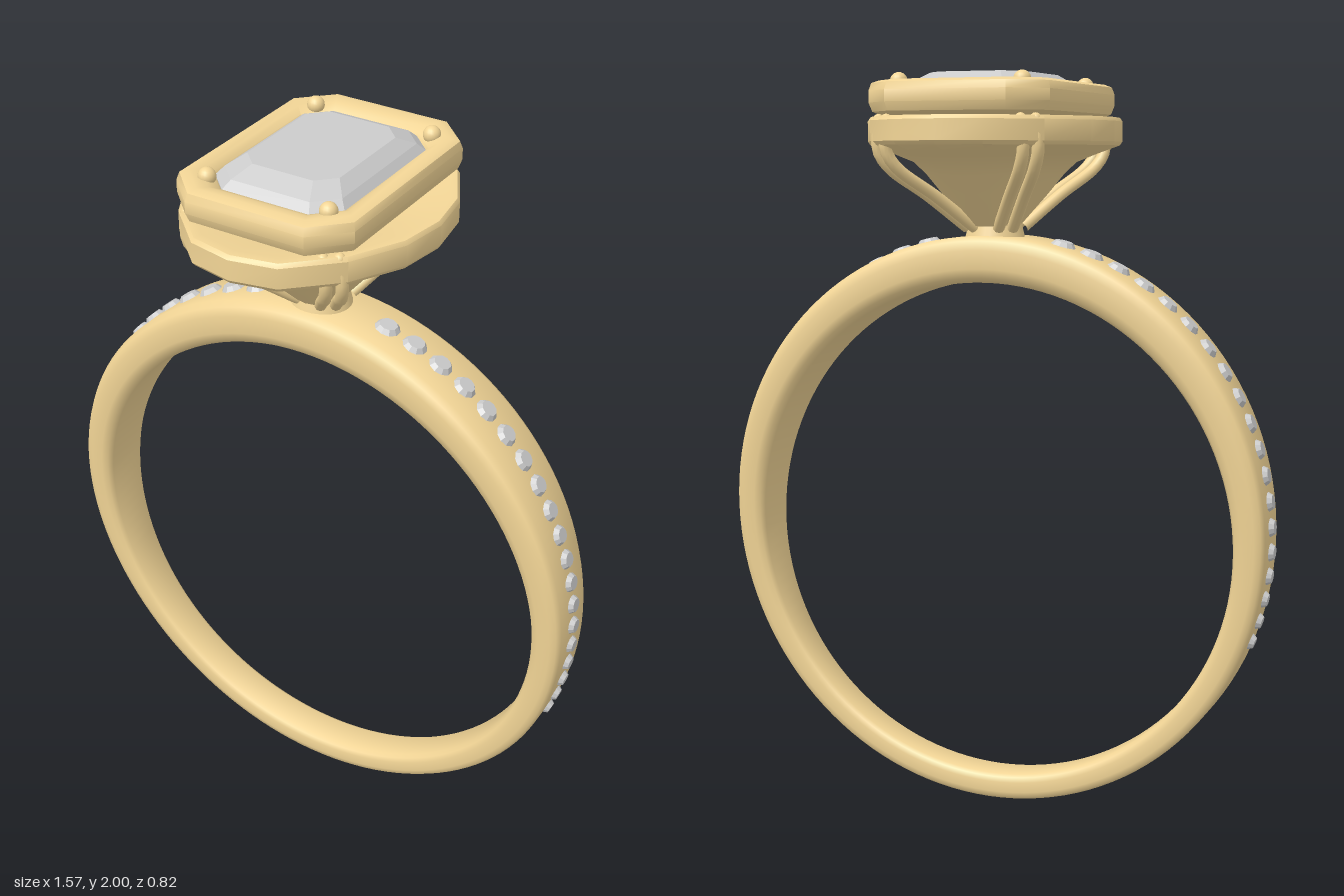
import * as THREE from 'three';
import { toCreasedNormals } from 'three/addons/utils/BufferGeometryUtils.js';

const gold = new THREE.MeshStandardMaterial({ color: 0xf2d596 });
const grey = new THREE.MeshStandardMaterial({ color: 0xcccccc, flatShading: true });
const lerp = THREE.MathUtils.lerp;

// Skin a list of equal-length closed rings of [x, y, z]; wrap joins last ring to first
function loft(rings, wrap, crease) {
  const n = rings[0].length, index = [];
  const last = wrap ? rings.length : rings.length - 1;
  for (let i = 0; i < last; i++) {
    const i2 = (i + 1) % rings.length;
    for (let j = 0; j < n; j++) {
      const j2 = (j + 1) % n;
      const a = i * n + j, b = i2 * n + j, c = i2 * n + j2, d = i * n + j2;
      index.push(a, b, d, b, c, d);
    }
  }
  const g = new THREE.BufferGeometry();
  g.setAttribute('position', new THREE.Float32BufferAttribute(rings.flat(2), 3));
  g.setIndex(index);
  return toCreasedNormals(g, crease);
}

// Rectangle with cut corners, at height y
function cutRect(a, b, c, y) {
  const p = a - c, q = b - c;
  return [[a, -q], [a, q], [p, b], [-p, b], [-a, q], [-a, -q], [-p, -b], [p, -b]]
    .map(([x, z]) => [x, y, z]);
}

function add(parent, name, geometry, material) {
  const m = new THREE.Mesh(geometry, material);
  m.name = name;
  parent.add(m);
  return m;
}

// Band: wider and thicker toward the top
function bandGeometry() {
  const section = [[0.7, 1], [0.9, 0.95], [1, 0.78], [1, -0.78], [0.9, -0.95], [0.7, -1],
    [0.3, -1], [0.1, -0.93], [0, -0.75], [0, 0.75], [0.1, 0.93], [0.3, 1]];
  const rings = [];
  for (let i = 0; i < 128; i++) {
    const t = (i / 128) * Math.PI * 2, s = Math.sin(t), c = Math.cos(t);
    const half = lerp(0.055, 0.105, THREE.MathUtils.smoothstep(0.787 + 0.787 * c, 0, 1.5));
    rings.push(section.map(([k, w]) => [
      lerp(0.69, 0.775, k) * s,
      lerp(0.76 + 0.69 * c, 0.787 + 0.787 * c, k),
      w * half]));
  }
  return loft(rings, true, 0.9);
}

// Cup and its wide faceted rim
function basketGeometry() {
  const quarter = [[0.335, 0], [0.315, 0.13], [0.24, 0.27], [0.12, 0.385], [0, 0.41]];
  const half = [...quarter, ...quarter.slice(0, 4).reverse().map(([x, z]) => [-x, z])];
  const outline = [...half, ...half.slice(1, 8).reverse().map(([x, z]) => [x, -z])];
  const levels = [[0, 1.59], [0.2, 1.6], [0.42, 1.685], [0.54, 1.735], [0.64, 1.768], [0.8, 1.79],
    [0.98, 1.812], [1, 1.822], [1, 1.875], [0.98, 1.885], [0.92, 1.885], [0.7, 1.86], [0, 1.85]];
  return loft(levels.map(([s, y]) => outline.map(([x, z]) => [x * s, y, z * s])), false, 0.6);
}

// Rounded frame around the centre stone
function bezelGeometry() {
  const profile = [[0.1, 1.885], [0.6, 1.885], [0.9, 1.897], [1, 1.92], [1, 1.95], [0.92, 1.97],
    [0.7, 1.977], [0.4, 1.972], [0.12, 1.96], [0, 1.945], [0, 1.89]];
  return loft(profile.map(([k, y]) =>
    cutRect(lerp(0.178, 0.25, k), lerp(0.248, 0.343, k), lerp(0.06, 0.085, k), y)), true, 0.75);
}

export function createModel() {
  const model = new THREE.Group();
  model.name = 'ring';
  add(model, 'band', bandGeometry(), gold);

  // Accent stones down both shoulders, shrinking as they go
  const accents = new THREE.Group();
  accents.name = 'accentStones';
  model.add(accents);
  let t = 0.255;
  for (let i = 0; i < 19; i++) {
    const r = lerp(0.037, 0.024, i / 18);
    for (const side of [-1, 1]) {
      const stone = add(accents, 'accentStone',
        new THREE.CylinderGeometry(r * 0.65, r, 0.016, 10), grey);
      stone.position.set(side * 0.779 * Math.sin(t), 0.787 + 0.791 * Math.cos(t), 0);
      stone.rotation.z = -side * t;
    }
    t += (2 * r + 0.0105) / 0.78;
  }

  // Head: collar, basket, bezel
  const head = new THREE.Group();
  head.name = 'head';
  model.add(head);
  const collar = add(head, 'collar', new THREE.CylinderGeometry(0.07, 0.083, 0.05, 32), gold);
  collar.position.y = 1.585;
  add(head, 'basket', basketGeometry(), gold);
  add(head, 'bezel', bezelGeometry(), gold);

  // Step-cut centre stone
  add(head, 'centreStone', loft([
    cutRect(0, 0, 0, 1.865), cutRect(0.06, 0.13, 0.02, 1.87), cutRect(0.182, 0.252, 0.06, 1.94),
    cutRect(0.182, 0.252, 0.06, 1.955), cutRect(0.165, 0.23, 0.055, 1.975),
    cutRect(0.13, 0.175, 0.045, 2), cutRect(0, 0, 0, 2)], false, 0.05), grey);

  // Paired prong rods and a bead at each corner
  for (const sx of [-1, 1]) for (const sz of [-1, 1]) {
    for (const o of [-1, 1]) {
      const ox = o * 0.016, oz = -o * 0.011;
      const path = new THREE.CatmullRomCurve3(
        [[0.05, 1.595, 0.05], [0.12, 1.68, 0.15], [0.187, 1.755, 0.25], [0.205, 1.8, 0.275], [0.2, 1.875, 0.28]]
          .map(([x, y, z]) => new THREE.Vector3(sx * (x + ox), y, sz * (z + oz))));
      add(head, 'prongRod', new THREE.TubeGeometry(path, 20, 0.016, 10), gold);
      const end = add(head, 'prongEnd', new THREE.SphereGeometry(0.016, 10, 8), gold);
      end.position.copy(path.getPoint(1));
    }
    const bead = add(head, 'prongBead', new THREE.SphereGeometry(0.023, 16, 12), gold);
    bead.position.set(sx * 0.17, 1.974, sz * 0.243);
  }
  return model;
}
